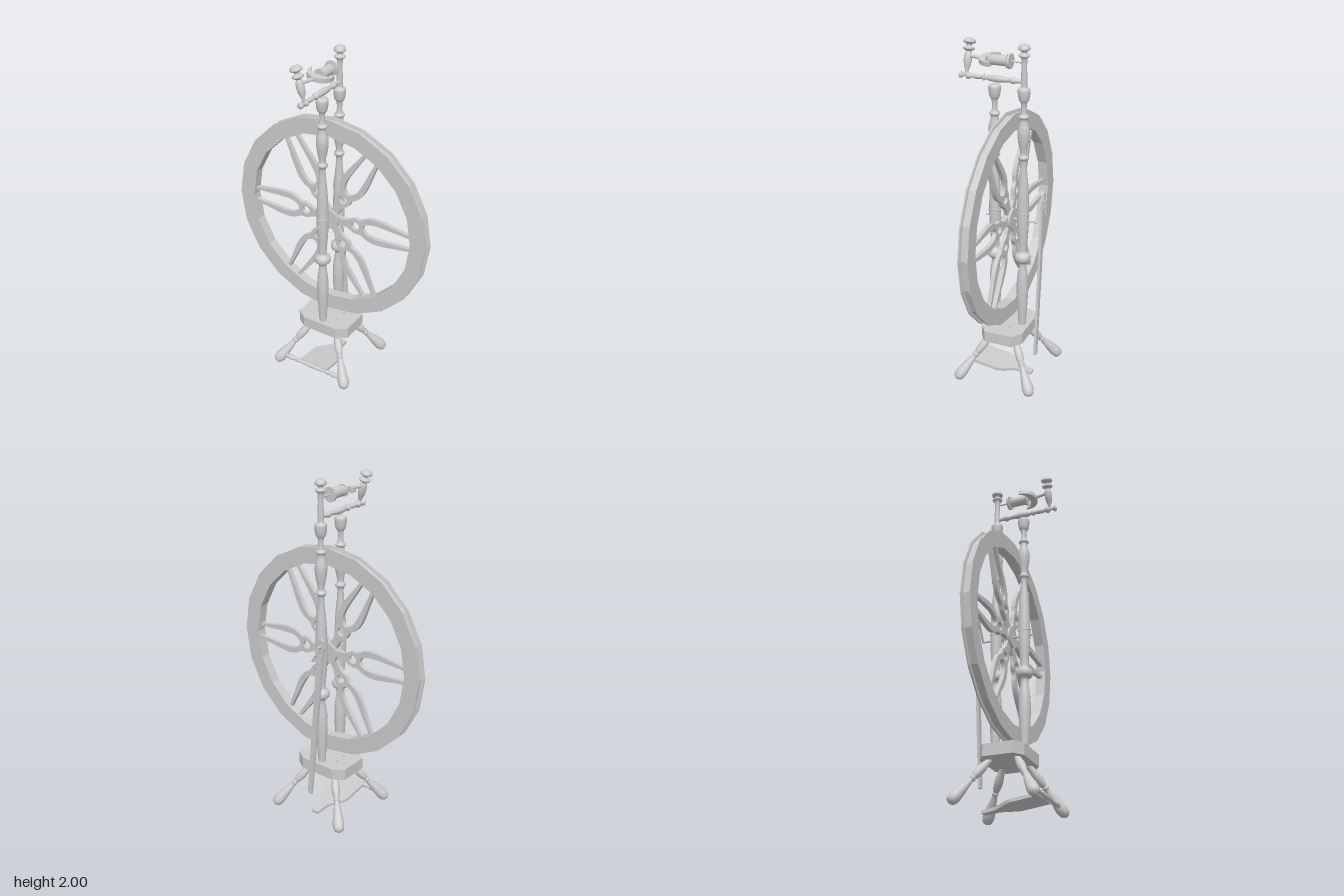
import * as THREE from 'three';

const material = new THREE.MeshStandardMaterial({ color: 0xcccccc });
const flat = new THREE.MeshStandardMaterial({ color: 0xcccccc, flatShading: true });
const V = (x, y, z) => new THREE.Vector3(x, y, z);
const UP = V(0, 1, 0);

export function createModel() {
  const group = new THREE.Group();

  function add(name, geometry, x = 0, y = 0, z = 0, mat = material) {
    const mesh = new THREE.Mesh(geometry, mat);
    mesh.name = name;
    mesh.position.set(x, y, z);
    group.add(mesh);
    return mesh;
  }

  // Turned piece from a to b; profile is [radius, distance along 0..1]
  function turned(name, a, b, profile, segments = 16) {
    const len = a.distanceTo(b);
    const curve = new THREE.CatmullRomCurve3(profile.map(([r, t]) => V(r, t * len, 0)), false, 'centripetal');
    const pts = curve.getPoints(profile.length * 3)
      .map(p => new THREE.Vector2(Math.max(p.x, 0), p.y));
    const mesh = add(name, new THREE.LatheGeometry(pts, segments), a.x, a.y, a.z);
    mesh.quaternion.setFromUnitVectors(UP, b.clone().sub(a).normalize());
    return mesh;
  }

  function rod(name, a, b, radius, segments = 12) {
    const mesh = add(name, new THREE.CylinderGeometry(radius, radius, a.distanceTo(b), segments));
    mesh.position.copy(a).add(b).multiplyScalar(0.5);
    mesh.quaternion.setFromUnitVectors(UP, b.clone().sub(a).normalize());
    return mesh;
  }

  const polygon = pts => new THREE.Shape(pts.map(p => new THREE.Vector2(...p)));
  const extrude = (shape, depth) => new THREE.ExtrudeGeometry(shape, { depth, bevelEnabled: false, curveSegments: 10 });

  // Base block with chamfered corners (shape y is -z)
  const base = add('base', extrude(polygon([
    [-0.17, -0.062], [-0.11, -0.104], [0.11, -0.104], [0.17, -0.062],
    [0.17, 0.108], [0.11, 0.15], [-0.11, 0.15], [-0.17, 0.108]]), 0.068), 0, 0.265, 0);
  base.rotation.x = -Math.PI / 2;
  for (const x of [-0.07, 0.07]) for (const z of [-0.055, 0.01])
    add('basePeg', new THREE.CylinderGeometry(0.008, 0.008, 0.01, 8), x, 0.335, z);

  // Splayed turned legs
  const legProfile = [[0.015, 0], [0.017, 0.12], [0.024, 0.28], [0.021, 0.4], [0.015, 0.46], [0.02, 0.48],
    [0.015, 0.51], [0.021, 0.62], [0.031, 0.8], [0.033, 0.88], [0.025, 0.96], [0, 1]];
  for (const side of [-1, 1]) {
    turned('frontLeg', V(side * 0.075, 0.29, 0.04), V(side * 0.246, 0.012, 0.213), legProfile);
    turned('backLeg', V(side * 0.075, 0.29, -0.085), V(side * 0.246, 0.012, -0.257), legProfile);
  }

  // Two turned posts, the back one rising higher
  const postProfile = [[0.022, 0.32], [0.023, 0.36], [0.034, 0.56], [0.03, 0.65], [0.021, 0.72], [0.025, 0.738],
    [0.044, 0.755], [0.044, 0.785], [0.025, 0.803], [0.023, 0.82], [0.031, 0.93], [0.034, 1.03], [0.029, 1.2],
    [0.019, 1.355], [0.029, 1.37], [0.029, 1.38], [0.019, 1.395], [0.031, 1.47], [0.034, 1.53], [0.021, 1.59],
    [0.029, 1.602], [0.029, 1.61], [0.018, 1.62], [0.018, 1.685], [0.026, 1.695], [0.034, 1.74], [0.032, 1.76]];
  const frontTop = [[0.02, 1.768], [0, 1.77]];
  const backTop = [[0.019, 1.768], [0.018, 1.8], [0.018, 1.925], [0.029, 1.935], [0.029, 1.943], [0.016, 1.952],
    [0.018, 1.962], [0.032, 1.97], [0.032, 1.98], [0.022, 1.995], [0, 2]];
  for (const [name, z, top] of [['frontPost', 0.065, frontTop], ['backPost', -0.105, backTop]]) {
    turned(name, V(0, 0, z), V(0, 1, z), [...postProfile, ...top]);
    const band = add('axleBand', new THREE.TorusGeometry(0.032, 0.006, 8, 20), 0, 1.035, z);
    band.rotation.set(Math.PI / 2, 0.4, 0);
  }

  // Faceted grooved wheel rim
  const wheelZ = -0.025;
  const rimProfile = [[0.52, -0.029], [0.615, -0.029], [0.615, -0.021], [0.598, -0.017], [0.598, 0.017],
    [0.615, 0.021], [0.615, 0.029], [0.52, 0.029], [0.52, -0.029]].map(p => new THREE.Vector2(...p));
  const rim = add('wheelRim', new THREE.LatheGeometry(rimProfile, 20), 0, 1, wheelZ, flat);
  rim.rotation.x = Math.PI / 2;

  // Forked spokes with a round hole at the base of the fork
  const outer = [[0.1, 0.022], [0.125, 0.03], [0.16, 0.046], [0.2, 0.047], [0.235, 0.066], [0.28, 0.077],
    [0.34, 0.075], [0.43, 0.061], [0.525, 0.047]];
  const inner = [[0.44, 0.036], [0.34, 0.042], [0.28, 0.042], [0.235, 0.03], [0.213, 0]];
  const vec = (list, s) => list.map(([x, y]) => new THREE.Vector2(x, s * y));
  const spoke = new THREE.Shape();
  spoke.moveTo(0.03, -0.026);
  spoke.lineTo(0.1, -0.022);
  spoke.splineThru(vec(outer.slice(1), -1));
  spoke.lineTo(0.525, -0.031);
  spoke.splineThru([...vec(inner, -1), ...vec(inner.slice(0, -1).reverse(), 1), new THREE.Vector2(0.525, 0.031)]);
  spoke.lineTo(0.525, 0.047);
  spoke.splineThru(vec(outer.slice(0, -1).reverse(), 1));
  spoke.lineTo(0.03, 0.026);
  const eye = new THREE.Path();
  eye.absarc(0.165, 0, 0.025, 0, Math.PI * 2, true);
  spoke.holes.push(eye);
  const spokeGeometry = extrude(spoke, 0.024);
  for (let i = 0; i < 6; i++)
    add('spoke', spokeGeometry, 0, 1, wheelZ - 0.012).rotation.z = i * Math.PI / 3;
  rod('hub', V(0, 1, -0.05), V(0, 1, 0), 0.06, 20);

  // Axle, crank and footman rod behind the back post
  rod('axle', V(0, 1, 0.118), V(0, 1, -0.19), 0.006);
  rod('crankArm', V(0, 1, -0.185), V(-0.066, 1.105, -0.185), 0.006);
  rod('crankPin', V(-0.066, 1.105, -0.178), V(-0.066, 1.105, -0.217), 0.007);
  const footman = polygon([[-0.014, 0], [0.014, 0], [0.017, 0.5], [0.019, 0.8], [0.023, 0.96], [0.015, 1],
    [0, 1.01], [-0.015, 1], [-0.023, 0.96], [-0.019, 0.8], [-0.017, 0.5]]);
  const slot = new THREE.Path();
  slot.absarc(0, 0.975, 0.011, 0, Math.PI, false);
  slot.lineTo(-0.005, 0.91);
  slot.lineTo(0.005, 0.91);
  slot.closePath();
  const small = new THREE.Path();
  small.absarc(0, 0.018, 0.007, 0, Math.PI * 2, true);
  footman.holes.push(slot, small);
  add('footman', extrude(footman, 0.015), 0.015, 0.15, -0.204).rotation.z = 0.09;

  // Treadle bar and tapering treadle board
  turned('treadleBar', V(-0.215, 0.062, 0.185), V(0.215, 0.062, 0.185), [[0.008, 0], [0.011, 0.06], [0.016, 0.16],
    [0.01, 0.23], [0.014, 0.25], [0.011, 0.28], [0.015, 0.5], [0.011, 0.72], [0.014, 0.75], [0.01, 0.77],
    [0.016, 0.84], [0.011, 0.94], [0.008, 1]], 12);
  const board = new THREE.Shape();
  board.moveTo(-0.093, 0);
  board.lineTo(0.093, 0);
  board.lineTo(0.093, 0.16);
  board.bezierCurveTo(0.08, 0.21, 0.03, 0.23, 0.026, 0.29);
  board.lineTo(0.022, 0.35);
  board.lineTo(-0.022, 0.35);
  board.lineTo(-0.026, 0.29);
  board.bezierCurveTo(-0.03, 0.23, -0.08, 0.21, -0.093, 0.16);
  add('treadle', extrude(board, 0.018), 0, 0.05, 0.175).rotation.x = -Math.PI / 2 - 0.135;

  // Horizontal arm carrying the spinning head
  turned('headArm', V(0, 1.797, -0.1), V(0, 1.797, 0.275), [[0.012, 0], [0.012, 0.1], [0.018, 0.16], [0.012, 0.2],
    [0.014, 0.28], [0.019, 0.4], [0.015, 0.52], [0.011, 0.58], [0.019, 0.6], [0.011, 0.63], [0.014, 0.72],
    [0.011, 0.8], [0.018, 0.83], [0.018, 0.87], [0.008, 0.89], [0.008, 0.93], [0.017, 0.95], [0.017, 0.98], [0, 1]]);

  // Small leaning upright in front
  turned('frontMaiden', V(0.002, 1.8, 0.23), V(-0.052, 1.992, 0.23), [[0.009, 0], [0.01, 0.12], [0.019, 0.28],
    [0.022, 0.42], [0.019, 0.56], [0.014, 0.62], [0.016, 0.64], [0.03, 0.68], [0.03, 0.73], [0.014, 0.77],
    [0.016, 0.82], [0.033, 0.86], [0.033, 0.91], [0.022, 0.97], [0, 1]]);

  // Spindle, bobbin and flyer
  const headY = 1.9;
  rod('spindle', V(0, headY, -0.105), V(0, headY, 0.165), 0.005);
  rod('orifice', V(-0.025, headY, 0.235), V(0, headY, 0.14), 0.009);
  rod('bobbin', V(0, headY, 0.09), V(0, headY, -0.015), 0.029, 16);
  for (const [z0, z1, r] of [[0.09, 0.08, 0.034], [-0.008, -0.013, 0.036], [-0.02, -0.032, 0.041]])
    rod('bobbinFlange', V(0, headY, z0), V(0, headY, z1), r, 20);
  const flyer = new THREE.Shape();
  flyer.moveTo(-0.073, 0.06);
  flyer.bezierCurveTo(-0.075, 0.115, -0.045, 0.148, 0, 0.15);
  flyer.bezierCurveTo(0.045, 0.148, 0.075, 0.115, 0.073, 0.06);
  flyer.lineTo(0.066, 0.06);
  flyer.bezierCurveTo(0.06, 0.09, 0.035, 0.108, 0, 0.108);
  flyer.bezierCurveTo(-0.035, 0.108, -0.06, 0.09, -0.066, 0.06);
  const flyerGeometry = extrude(flyer, 0.026).translate(0, 0, -0.013).rotateX(Math.PI / 2);
  add('flyer', flyerGeometry, 0, headY, 0).rotation.z = -0.15;

  return group;
}
